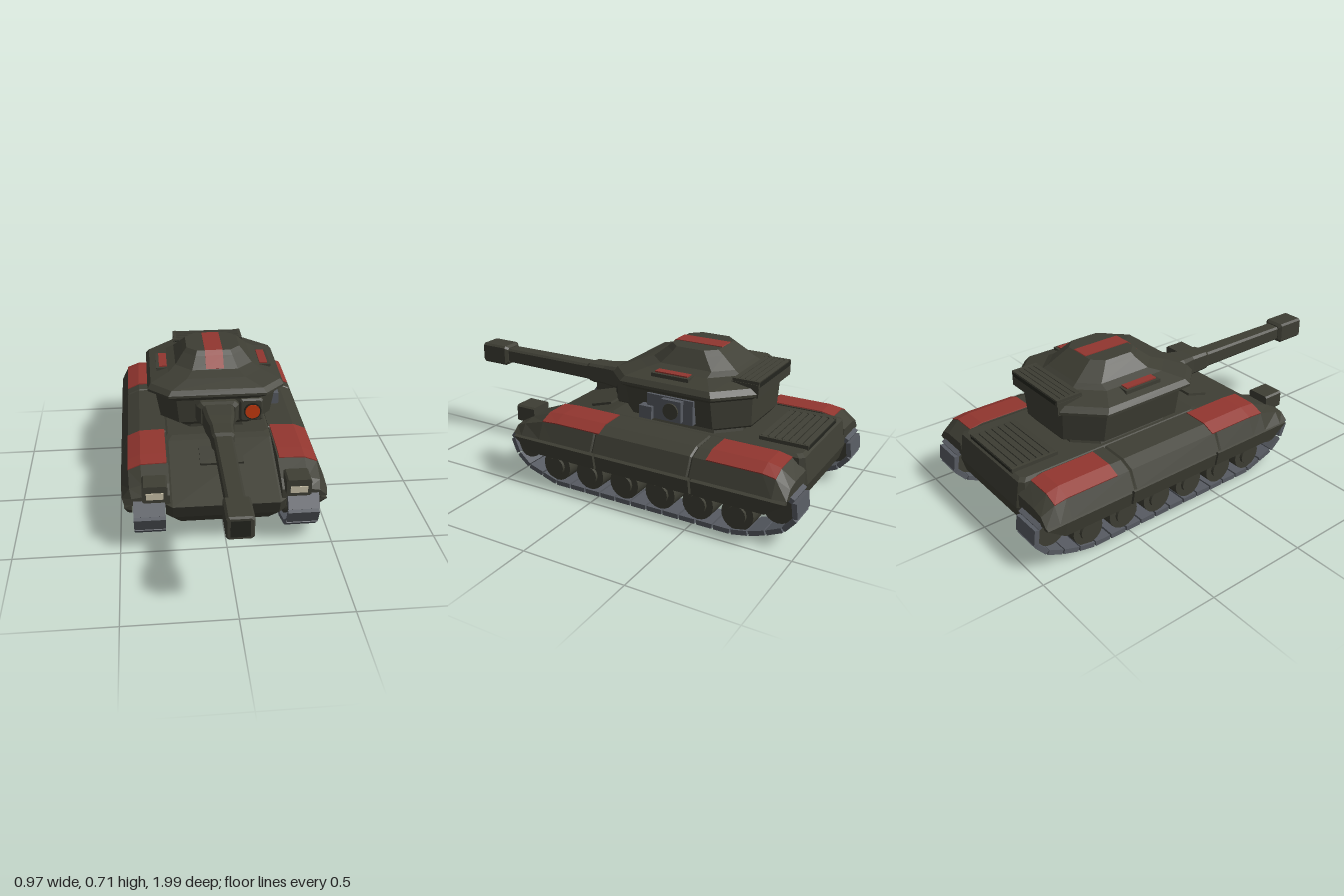
import * as THREE from 'three';

const mat = (name, color, extra = {}) => {
  const m = new THREE.MeshStandardMaterial({ color, ...extra });
  m.name = name;
  return m;
};

// Closed skin over convex rings of [x, y, z] points, always facing outwards
function loft(rings) {
  const tris = [], n = rings[0].length;
  for (let r = 0; r < rings.length - 1; r++) {
    const a = rings[r], b = rings[r + 1];
    for (let i = 0; i < n; i++) {
      const j = (i + 1) % n;
      tris.push([a[i], a[j], b[j]], [a[i], b[j], b[i]]);
    }
  }
  const first = rings[0], last = rings[rings.length - 1];
  for (let i = 1; i < n - 1; i++) {
    tris.push([first[0], first[i + 1], first[i]], [last[0], last[i], last[i + 1]]);
  }
  const vol = tris.reduce((s, [a, b, c]) => s
    + a[0] * (b[1] * c[2] - b[2] * c[1])
    + a[1] * (b[2] * c[0] - b[0] * c[2])
    + a[2] * (b[0] * c[1] - b[1] * c[0]), 0);
  const pos = tris.flatMap(([a, b, c]) => (vol < 0 ? [a, c, b] : [a, b, c])).flat();
  const g = new THREE.BufferGeometry();
  g.setAttribute('position', new THREE.Float32BufferAttribute(pos, 3));
  g.computeVertexNormals();
  return g;
}

// Horizontal octagon at height y, with front and back corner cuts
const oct = (y, hx, zf, zb, cf, cb = cf) => [
  [hx - cf, y, zf], [hx, y, zf - cf], [hx, y, zb + cb], [hx - cb, y, zb],
  [cb - hx, y, zb], [-hx, y, zb + cb], [-hx, y, zf - cf], [cf - hx, y, zf]];

// Bevelled box section standing across z
const slice = (x, y, z, hx, hy, c) => [
  [hx - c, hy], [hx, hy - c], [hx, c - hy], [hx - c, -hy],
  [c - hx, -hy], [-hx, c - hy], [-hx, hy - c], [c - hx, hy]].map(([u, v]) => [x + u, y + v, z]);

export function createModel() {
  const model = new THREE.Group();
  model.name = 'tank';
  const hull = mat('olive hull', 0x3e3e34);
  const dark = mat('dark recess', 0x24251f);
  const steel = mat('track steel', 0x575b62);
  const red = mat('red marking', 0x92362f);
  const cream = mat('lamp cream', 0xc9c1a8);
  const orange = mat('sensor orange', 0xc63a0e);

  const add = (name, geo, m, parent = model) => {
    const mesh = new THREE.Mesh(geo, m);
    mesh.name = name;
    parent.add(mesh);
    return mesh;
  };
  const box = (name, m, w, h, d, x, y, z, parent) => {
    const b = add(name, new THREE.BoxGeometry(w, h, d), m, parent);
    b.position.set(x, y, z);
    return b;
  };
  const disc = (name, m, r, len, x, y, z, axis, sides = 20, r2 = r) => {
    const g = new THREE.CylinderGeometry(r, r2, len, sides);
    if (axis === 'x') g.rotateZ(-Math.PI / 2); else g.rotateX(Math.PI / 2);
    const d = add(name, g, m);
    d.position.set(x, y, z);
    return d;
  };

  // Hull
  add('hull', loft([
    oct(0.095, 0.23, 0.4, -0.88, 0.02), oct(0.16, 0.28, 0.46, -0.94, 0.03),
    oct(0.233, 0.28, 0.49, -0.96, 0.03), oct(0.355, 0.27, 0.08, -0.94, 0.02),
    oct(0.365, 0.25, 0.04, -0.92, 0.02)]), hull);
  const hatch = box('driverHatch', hull, 0.21, 0.025, 0.12, 0, 0.322, 0.19);
  hatch.rotation.x = 0.28;

  // Louvred grilles on the engine deck and turret rear
  const grille = (name, y, z0, z1, count) => {
    const step = (z1 - z0) / count;
    box(name + 'Base', dark, 0.36, 0.02, z1 - z0, 0, y, (z0 + z1) / 2);
    for (const s of [-1, 1]) box(name + 'Rail', hull, 0.015, 0.036, z1 - z0, s * 0.18, y, (z0 + z1) / 2);
    for (let i = 0; i < count; i++) {
      const slat = box(name + 'Slat', hull, 0.35, 0.012, step * 0.75, 0, y + 0.012, z0 + (i + 0.5) * step);
      slat.rotation.x = -0.2;
    }
  };
  grille('engineGrille', 0.364, -0.93, -0.7, 7);

  // Fender: [z, height factor, width factor]
  const fenderStations = [
    [0.465, 0.36, 0.93], [0.41, 0.6, 0.98], [0.3, 0.95, 1], [0.22, 1, 1], [0.008, 1, 1],
    [0, 0.94, 0.98], [-0.008, 1, 1], [-0.492, 1, 1], [-0.5, 0.94, 0.98], [-0.508, 1, 1],
    [-0.83, 1, 1], [-0.89, 0.9, 1], [-0.95, 0.5, 0.93]];
  const fenderProfile = [[0.26, 0.24], [0.26, 0.365], [0.39, 0.361], [0.45, 0.335], [0.487, 0.252], [0.44, 0.235]];
  const panelTop = [[0.268, 0.369], [0.39, 0.366], [0.452, 0.339]];
  const panelProfile = [...panelTop, ...panelTop.map(([x, y]) => [x - 0.002, y - 0.007]).reverse()];
  const place = (profile, s, [z, h, w]) =>
    profile.map(([x, y]) => [s * (0.26 + (x - 0.26) * w), 0.24 + (y - 0.24) * h, z]);

  // Track loop in the side plane, as [z, y]
  const loop = [[0.25, 0.012], [-0.72, 0.012], [-0.9, 0.07], [-0.97, 0.12], [-0.988, 0.19], [-0.95, 0.262],
    [0.46, 0.262], [0.508, 0.2], [0.495, 0.14], [0.43, 0.07], [0.25, 0.012]]
    .map(([z, y]) => new THREE.Vector3(0, y, z));
  const path = new THREE.CurvePath();
  for (let i = 0; i < loop.length - 1; i++) path.add(new THREE.LineCurve3(loop[i], loop[i + 1]));
  const links = 38, linkPoints = path.getSpacedPoints(links);

  for (const s of [1, -1]) {
    add('fender', loft(fenderStations.map((t) => place(fenderProfile, s, t))), hull);
    for (const zone of [[[0.3, 0.95, 1], [0.22, 1, 1], [-0.02, 1, 1]], [[-0.57, 1, 1], [-0.83, 1, 1], [-0.89, 0.9, 1]]]) {
      add('redFenderPanel', loft(zone.map((t) => place(panelProfile, s, t))), red);
    }
    // Lower skirt in three plates
    for (const plate of [[[0.465, 0.22], [0.39, 0.155], [0.006, 0.155]], [[-0.006, 0.155], [-0.494, 0.155]],
      [[-0.506, 0.155], [-0.85, 0.155], [-0.94, 0.22]]]) {
      add('skirtPlate', loft(plate.map(([z, b]) =>
        [[0.44, 0.24], [0.472, 0.228], [0.458, b], [0.438, b - 0.005]].map(([x, y]) => [s * x, y, z]))), hull);
    }

    // Track links
    for (let i = 0; i < links; i++) {
      const a = linkPoints[i], b = linkPoints[i + 1];
      const len = a.distanceTo(b);
      const link = box('trackLink', steel, 0.147, 0.023, len * 0.9, s * 0.357, (a.y + b.y) / 2, (a.z + b.z) / 2);
      link.rotation.x = -Math.atan2(b.y - a.y, b.z - a.z);
    }
    // Road wheels, idler and sprocket
    for (let i = 0; i < 6; i++) {
      const z = 0.247 - i * 0.192;
      disc('roadWheel', hull, 0.076, 0.12, s * 0.36, 0.1, z, 'x');
      disc('wheelHub', hull, 0.045, 0.02, s * 0.425, 0.1, z, 'x', 12);
    }
    for (const z of [0.42, -0.895]) disc('endWheel', hull, 0.07, 0.11, s * 0.357, 0.175, z, 'x');

    // Headlight
    add('headlightHousing', loft([slice(s * 0.33, 0.315, 0.4, 0.058, 0.042, 0.008),
      slice(s * 0.33, 0.315, 0.503, 0.058, 0.042, 0.008)]), hull);
    box('headlight', cream, 0.08, 0.032, 0.008, s * 0.33, 0.308, 0.504);

    // Roof hatch
    box('hatchFrame', hull, 0.055, 0.03, 0.19, s * 0.265, 0.607, -0.3);
    box('redHatch', red, 0.04, 0.008, 0.165, s * 0.258, 0.624, -0.3);
  }

  // Turret
  add('turretRing', loft([oct(0.35, 0.24, -0.04, -0.6, 0.1), oct(0.39, 0.225, -0.04, -0.6, 0.1)]), hull);
  add('turretBody', loft([oct(0.383, 0.235, -0.035, -0.63, 0.08, 0.12), oct(0.405, 0.28, -0.015, -0.645, 0.09, 0.13),
    oct(0.54, 0.303, 0, -0.65, 0.1, 0.14)]), hull);
  add('turretRoof', loft([
    oct(0.533, 0.3, 0, -0.645, 0.1, 0.14), oct(0.56, 0.342, 0.03, -0.68, 0.1, 0.15),
    oct(0.572, 0.342, 0.03, -0.68, 0.1, 0.15), oct(0.595, 0.325, 0.015, -0.665, 0.1, 0.15),
    oct(0.622, 0.235, -0.06, -0.57, 0.09, 0.11), oct(0.64, 0.195, -0.12, -0.54, 0.08),
    oct(0.69, 0.153, -0.18, -0.47, 0.06), oct(0.711, 0.135, -0.2, -0.44, 0.05)]), hull);
  add('redRoofStripe', loft([[-0.125, 0.64], [-0.18, 0.69], [-0.2, 0.711], [-0.44, 0.711]].map(([z, y]) =>
    [[0.045, y + 0.003, z + 0.003], [0.045, y - 0.004, z - 0.002],
      [-0.045, y - 0.004, z - 0.002], [-0.045, y + 0.003, z + 0.003]])), red);
  box('rearRack', hull, 0.38, 0.06, 0.13, 0, 0.585, -0.622);
  grille('rackGrille', 0.611, -0.688, -0.56, 5);

  // Mantlet and gun
  add('mantlet', loft([slice(0, 0.47, -0.04, 0.11, 0.062, 0.02), slice(0, 0.47, 0.02, 0.105, 0.06, 0.02),
    slice(0, 0.465, 0.045, 0.085, 0.055, 0.015)]), hull);
  add('gunRoot', loft([slice(0, 0.465, 0.03, 0.08, 0.058, 0.015), slice(0, 0.464, 0.14, 0.07, 0.055, 0.015),
    slice(0, 0.462, 0.21, 0.055, 0.049, 0.012), slice(0, 0.462, 0.3, 0.053, 0.047, 0.012),
    slice(0, 0.46, 0.32, 0.044, 0.039, 0.01)]), hull);
  add('gunBarrel', loft([slice(0, 0.46, 0.3, 0.045, 0.04, 0.01), slice(0, 0.46, 0.86, 0.041, 0.037, 0.01)]), hull);
  add('muzzle', loft([slice(0, 0.46, 0.835, 0.045, 0.042, 0.01), slice(0, 0.46, 0.85, 0.058, 0.053, 0.01),
    slice(0, 0.46, 0.99, 0.058, 0.053, 0.01), slice(0, 0.46, 1, 0.052, 0.047, 0.01)]), hull);
  box('muzzleBore', dark, 0.08, 0.075, 0.004, 0, 0.46, 0.999);

  // Front sensor on the left of the gun
  add('sensorHousing', loft([slice(0.168, 0.475, -0.1, 0.058, 0.06, 0.008),
    slice(0.168, 0.475, 0.012, 0.058, 0.06, 0.008), slice(0.168, 0.475, 0.022, 0.05, 0.052, 0.008)]), hull);
  disc('sensorRim', dark, 0.044, 0.012, 0.174, 0.472, 0.023, 'z', 24);
  disc('sensorLens', orange, 0.037, 0.012, 0.174, 0.472, 0.027, 'z', 24);

  // Equipment plate on the left side of the turret
  box('sidePlate', steel, 0.05, 0.115, 0.235, 0.29, 0.472, -0.315);
  box('sidePod', steel, 0.06, 0.06, 0.065, 0.305, 0.442, -0.2);
  box('sidePodArm', steel, 0.035, 0.1, 0.1, 0.322, 0.475, -0.335);
  disc('sideKnob', hull, 0.038, 0.02, 0.337, 0.475, -0.335, 'x', 16);

  return model;
}
